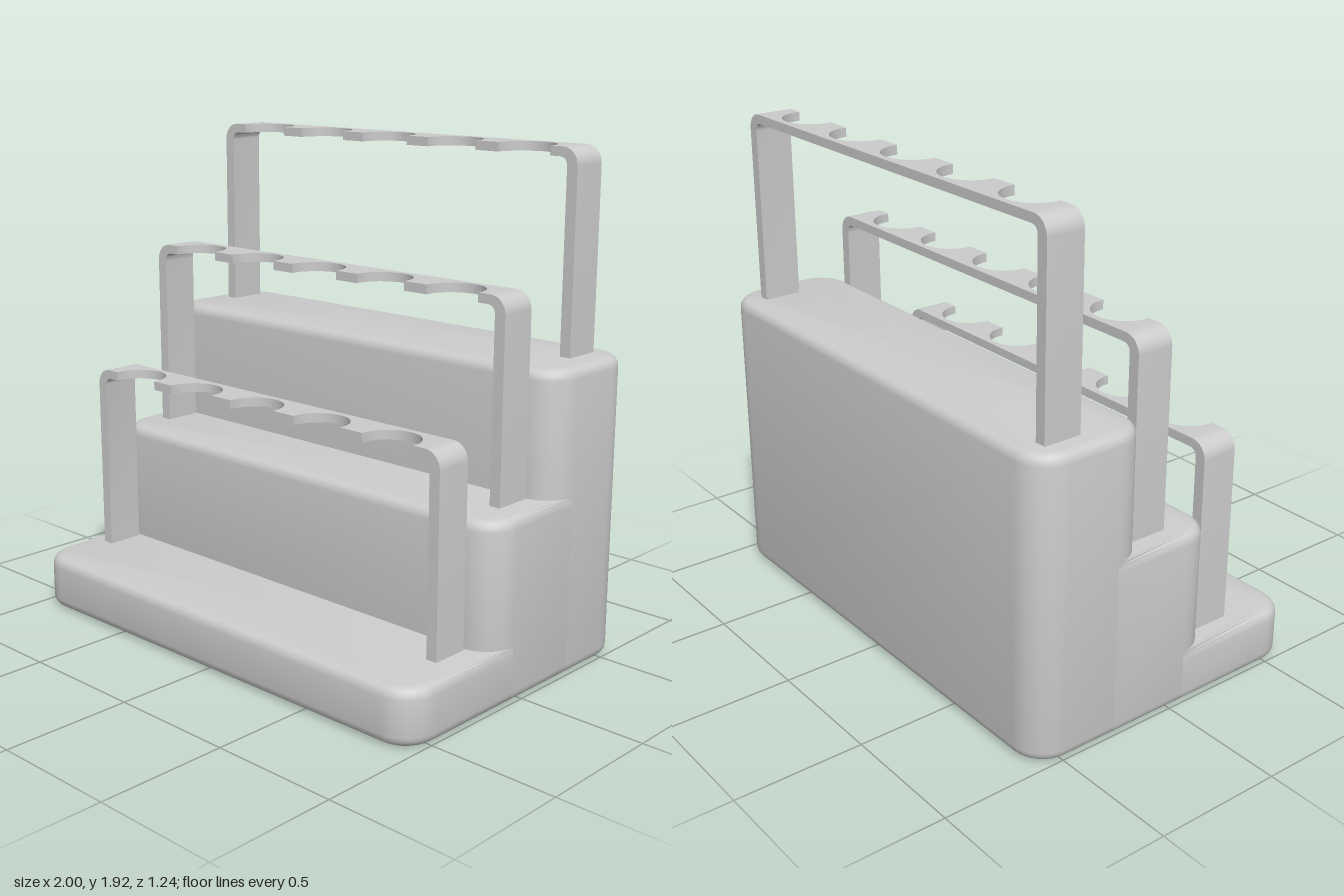
import * as THREE from 'three';
import { toCreasedNormals } from 'three/addons/utils/BufferGeometryUtils.js';

const material = new THREE.MeshStandardMaterial({ color: 0xcccccc });
const CORNER = 0.13, BEVEL = 0.04;
const BACK = -0.62;

function addMesh(parent, geometry, name) {
  const mesh = new THREE.Mesh(toCreasedNormals(geometry, 0.6), material);
  mesh.name = name;
  parent.add(mesh);
  return mesh;
}

// Plan outline of a block at one height: rounded front corners, and either
// rounded back corners or square ones that sit inside the taller block behind.
function outline(front, back, inset, roundBack, backInset) {
  const points = [], steps = 8, r = CORNER - inset;
  const arc = (x, z, start) => {
    for (let i = 0; i <= steps; i++) {
      const a = start + (i / steps) * Math.PI / 2;
      points.push([x + r * Math.cos(a), z + r * Math.sin(a)]);
    }
  };
  const cx = 1 - CORNER;
  arc(cx, front - CORNER, 0);
  arc(-cx, front - CORNER, Math.PI / 2);
  if (roundBack) {
    arc(-cx, back + CORNER, Math.PI);
    arc(cx, back + CORNER, Math.PI * 1.5);
  } else {
    points.push([-1 + backInset, back], [1 - backInset, back]);
  }
  return points;
}

// Block lofted through its outlines, with softened bottom and top edges.
// On the lower steps the top edge rounding fades out towards the back.
function blockGeometry(front, back, height, roundBack) {
  const levels = [], steps = 4;
  for (let i = 0; i <= steps; i++) {
    const a = (i / steps) * Math.PI / 2;
    const inset = BEVEL * (1 - Math.sin(a));
    levels.push({ y: BEVEL * (1 - Math.cos(a)), inset, backInset: inset });
  }
  for (let i = 0; i <= steps; i++) {
    const a = (i / steps) * Math.PI / 2;
    levels.push({ y: height - BEVEL * (1 - Math.sin(a)), inset: BEVEL * (1 - Math.cos(a)), backInset: 0 });
  }
  const positions = [], index = [];
  let n = 0;
  for (const { y, inset, backInset } of levels) {
    const ring = outline(front, back, inset, roundBack, backInset);
    n = ring.length;
    for (const [x, z] of ring) positions.push(x, y, z);
  }
  const last = (levels.length - 1) * n, bottom = levels.length * n, top = bottom + 1;
  const mid = (front + back) / 2;
  positions.push(0, 0, mid, 0, height, mid);
  for (let i = 0; i < n; i++) {
    const j = (i + 1) % n;
    for (let k = 0; k < last; k += n) {
      index.push(k + i, k + n + i, k + j, k + j, k + n + i, k + n + j);
    }
    index.push(bottom, i, j, top, last + j, last + i);
  }
  const geometry = new THREE.BufferGeometry();
  geometry.setAttribute('position', new THREE.Float32BufferAttribute(positions, 3));
  geometry.setIndex(index);
  return geometry;
}

// Upright post with the rounded bend into the bar; side is 1 or -1
function postGeometry(side, height, depth) {
  const outer = 0.9025, inner = 0.858, joint = 0.81, thick = 0.035;
  const s = new THREE.Shape();
  s.moveTo(side * joint, height);
  s.lineTo(side * (outer - 0.065), height);
  s.bezierCurveTo(side * (outer - 0.029), height, side * outer, height - 0.029, side * outer, height - 0.065);
  s.lineTo(side * outer, -0.03);
  s.lineTo(side * inner, -0.03);
  s.lineTo(side * inner, height - thick - 0.035);
  s.quadraticCurveTo(side * inner, height - thick, side * (inner - 0.035), height - thick);
  s.lineTo(side * joint, height - thick);
  return new THREE.ExtrudeGeometry(s, { depth, bevelEnabled: false, curveSegments: 8 });
}

// Flat bar with five arched notches cut into its front edge
function barGeometry(depth) {
  const s = new THREE.Shape(), r = 0.115, end = 0.81;
  s.moveTo(-end, depth);
  s.lineTo(-end, 0);
  s.lineTo(end, 0);
  s.lineTo(end, depth);
  for (let i = 2; i >= -2; i--) {
    const x = i * 0.3345;
    s.lineTo(x + r, depth);
    s.lineTo(x + r, depth - 0.01);
    s.absarc(x, depth - 0.01, r, 0, -Math.PI, true);
    s.lineTo(x - r, depth);
  }
  const geometry = new THREE.ExtrudeGeometry(s, { depth: 0.035, bevelEnabled: false, curveSegments: 20 });
  return geometry.rotateX(Math.PI / 2);
}

export function createModel() {
  const model = new THREE.Group();
  model.name = 'steppedRack';

  const tiers = [
    { name: 'lower', height: 0.215, front: 0.62, back: 0.06, rackZ: 0.2, rackTop: 0.965 },
    { name: 'middle', height: 0.69, front: 0.19, back: -0.27, rackZ: -0.135, rackTop: 1.443 },
    { name: 'upper', height: 1.165, front: -0.14, back: BACK, rackZ: -0.53, rackTop: 1.92 },
  ];
  const depth = 0.15;

  for (const t of tiers) {
    // Step of the base
    addMesh(model, blockGeometry(t.front, t.back, t.height, t.back === BACK), t.name + 'Step');

    // Holder frame standing on the step
    const rack = new THREE.Group();
    rack.name = t.name + 'Holder';
    rack.position.set(-0.0125, t.height, t.rackZ);
    const rise = t.rackTop - t.height;
    addMesh(rack, postGeometry(1, rise, depth), 'leftPost');
    addMesh(rack, postGeometry(-1, rise, depth), 'rightPost');
    addMesh(rack, barGeometry(depth), 'notchedBar').position.y = rise;
    model.add(rack);
  }
  return model;
}
